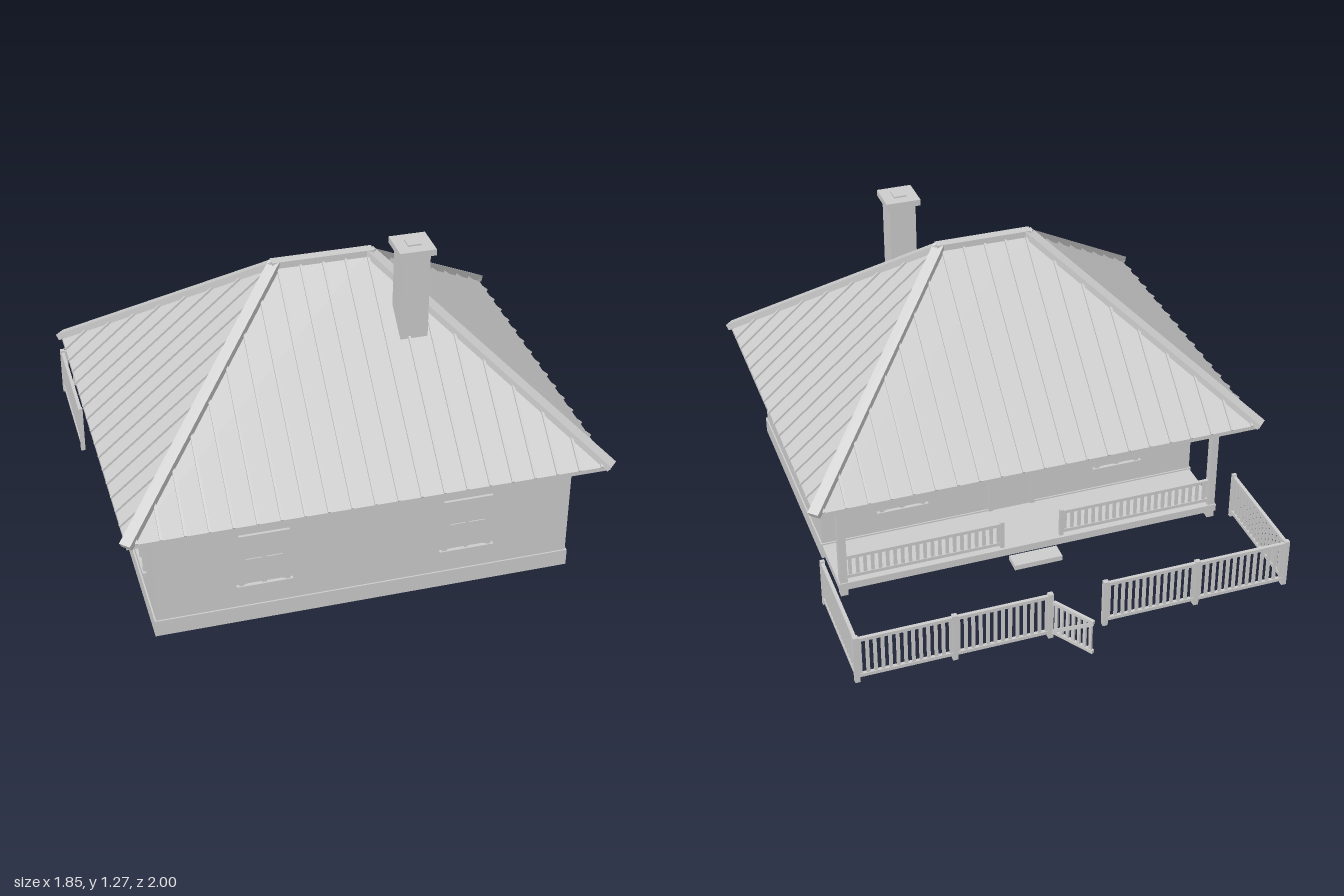
import * as THREE from 'three';

const mat = new THREE.MeshStandardMaterial({ color: 0xcccccc });
const V = (x, y, z) => new THREE.Vector3(x, y, z);

function group(parent, name) {
  const g = new THREE.Group();
  g.name = name;
  parent.add(g);
  return g;
}

// Box given by its centre in x and z and its lower and upper height
function box(parent, name, w, d, x, z, y0, y1) {
  const m = new THREE.Mesh(new THREE.BoxGeometry(w, y1 - y0, d), mat);
  m.position.set(x, (y0 + y1) / 2, z);
  m.name = name;
  parent.add(m);
  return m;
}

// Straight bar from a to b with width w and thickness h
function beam(parent, name, a, b, w, h) {
  const m = new THREE.Mesh(new THREE.BoxGeometry(w, h, a.distanceTo(b)), mat);
  m.position.copy(a).add(b).multiplyScalar(0.5);
  m.lookAt(b);
  m.name = name;
  parent.add(m);
}

// Two rails with evenly spaced pickets, running from (ax, az) to (bx, bz)
function pickets(parent, name, [ax, az], [bx, bz], y0, y1, pitch = 0.03, w = 0.013) {
  const g = group(parent, name);
  const len = Math.hypot(bx - ax, bz - az);
  g.position.set(ax, 0, az);
  g.rotation.y = Math.atan2(az - bz, bx - ax);
  box(g, 'topRail', len, 0.014, len / 2, 0, y1 - 0.014, y1);
  box(g, 'bottomRail', len, 0.014, len / 2, 0, y0, y0 + 0.014);
  const n = Math.round(len / pitch);
  for (let i = 0; i < n; i++) box(g, 'picket', w, 0.008, (i + 0.5) * len / n, 0, y0, y1 - 0.004);
  return g;
}

// Window facing local +z, origin on the wall at ground level
function windowUnit(parent, x, z, turn) {
  const g = group(parent, 'window');
  g.position.set(x, 0, z);
  g.rotation.y = turn;
  box(g, 'pane', 0.17, 0.004, 0, 0, 0.17, 0.38);
  for (const s of [-1, 1]) {
    box(g, 'sideFrame', 0.016, 0.02, s * 0.087, 0, 0.165, 0.39);
    box(g, 'sash', 0.008, 0.012, s * 0.073, 0, 0.17, 0.378);
  }
  box(g, 'topFrame', 0.19, 0.022, 0, 0, 0.376, 0.392);
  box(g, 'sill', 0.212, 0.03, 0, 0, 0.155, 0.168);
  box(g, 'mullion', 0.016, 0.014, 0, 0, 0.168, 0.376);
  box(g, 'glazingBar', 0.15, 0.012, 0, 0, 0.27, 0.282);
}

const EX = 0.9, ZC = 0.255, EZ = 0.72, RX = 0.18, EY = 0.505, RY = 1.125;

function buildRoof(parent) {
  const g = group(parent, 'roof');
  // Hipped surface: two trapezoids and two triangles
  const a = [-EX, EY, ZC + EZ], b = [EX, EY, ZC + EZ], c = [EX, EY, ZC - EZ], d = [-EX, EY, ZC - EZ];
  const l = [-RX, RY, ZC], r = [RX, RY, ZC];
  const geo = new THREE.BufferGeometry();
  const tris = [a, b, r, a, r, l, c, d, l, c, l, r, b, c, r, d, a, l];
  geo.setAttribute('position', new THREE.Float32BufferAttribute(tris.flat(), 3));
  geo.computeVertexNormals();
  const skin = new THREE.Mesh(geo, mat);
  skin.name = 'roofSurface';
  g.add(skin);
  box(g, 'eaves', 2 * EX, 2 * EZ, 0, ZC, 0.488, EY);

  // Standing seams, each stopping at the hip or ridge
  for (const s of [-1, 1]) {
    for (let k = -10; k <= 10; k++) {
      const x = k * 0.0865;
      const t = Math.min(1, (EX - Math.abs(x)) / (EX - RX));
      beam(g, 'seam', V(x, EY, ZC + s * EZ), V(x, EY + t * (RY - EY), ZC + s * EZ * (1 - t)), 0.009, 0.016);
    }
    for (let k = -8; k <= 8; k++) {
      const dz = k * 0.0865;
      const t = 1 - Math.abs(dz) / EZ;
      beam(g, 'seam', V(s * EX, EY, ZC + dz), V(s * (EX - t * (EX - RX)), EY + t * (RY - EY), ZC + dz), 0.009, 0.016);
    }
    // Hip caps
    for (const q of [-1, 1])
      beam(g, 'hipCap', V(s * (EX + 0.003), EY, ZC + q * (EZ + 0.003)), V(s * RX, RY + 0.003, ZC), 0.045, 0.026);
  }
  box(g, 'ridgeCap', 2 * RX + 0.03, 0.04, 0, ZC, RY - 0.012, RY + 0.014);
}

function buildPorch(parent) {
  const g = group(parent, 'porch');
  box(g, 'deck', 1.59, 0.27, 0, -0.21, 0.03, 0.062);
  box(g, 'step', 0.2, 0.07, 0, -0.375, 0, 0.022);
  for (const s of [-1, 1]) {
    box(g, 'post', 0.03, 0.03, s * 0.775, -0.325, 0, 0.49);
    pickets(g, 'railing', [s * 0.76, -0.325], [s * 0.125, -0.325], 0.075, 0.18);
    box(g, 'railingPost', 0.016, 0.016, s * 0.125, -0.325, 0.06, 0.185);
  }
  // Back door
  const door = group(g, 'door');
  box(door, 'doorLeaf', 0.17, 0.008, 0, -0.078, 0.06, 0.405);
  for (const s of [-1, 1]) box(door, 'doorJamb', 0.018, 0.02, s * 0.09, -0.078, 0.06, 0.405);
  box(door, 'doorHead', 0.2, 0.02, 0, -0.078, 0.398, 0.416);
  box(door, 'doorKnob', 0.01, 0.03, 0.06, -0.08, 0.21, 0.22);
}

function buildFence(parent) {
  const g = group(parent, 'fence');
  const Z = -0.83;
  for (const s of [-1, 1]) {
    const xs = [0.86, 0.485, 0.11].map(x => x * s);
    pickets(g, 'sideFence', [xs[0], -0.355], [xs[0], Z], 0.02, 0.2, 0.028);
    box(g, 'fencePost', 0.018, 0.014, xs[0], -0.36, 0, 0.207);
    for (const x of xs) box(g, 'fencePost', 0.02, 0.02, x, Z, 0, 0.207);
    for (let i = 0; i < 2; i++) pickets(g, 'backFence', [xs[i], Z], [xs[i + 1], Z], 0.02, 0.2, 0.028);
  }
  // Gate standing open, with a diagonal brace
  const gate = pickets(g, 'gate', [0.1, Z - 0.008], [0.002, -0.995], 0.022, 0.174, 0.026);
  beam(gate, 'gateBrace', V(0.008, 0.04, 0.006), V(0.183, 0.162, 0.006), 0.01, 0.013);
}

export function createModel() {
  const root = new THREE.Group();
  root.name = 'house';

  // Walls on a slightly wider plinth
  box(root, 'plinth', 1.6, 0.964, 0, 0.4, 0, 0.068);
  box(root, 'walls', 1.588, 0.952, 0, 0.4, 0.068, 0.495);

  const windows = group(root, 'windows');
  for (const s of [-1, 1]) {
    windowUnit(windows, s * 0.388, 0.876, 0);
    windowUnit(windows, s * 0.46, -0.076, Math.PI);
    for (const z of [0.615, 0.155]) windowUnit(windows, s * 0.794, z, s * Math.PI / 2);
  }

  buildRoof(root);
  buildPorch(root);
  buildFence(root);

  // Chimney
  const chimney = group(root, 'chimney');
  box(chimney, 'stack', 0.105, 0.105, 0.277, 0.473, 0.85, 1.237);
  box(chimney, 'cap', 0.138, 0.138, 0.277, 0.473, 1.237, 1.262);
  box(chimney, 'flue', 0.05, 0.05, 0.277, 0.473, 1.262, 1.268);
  return root;
}
